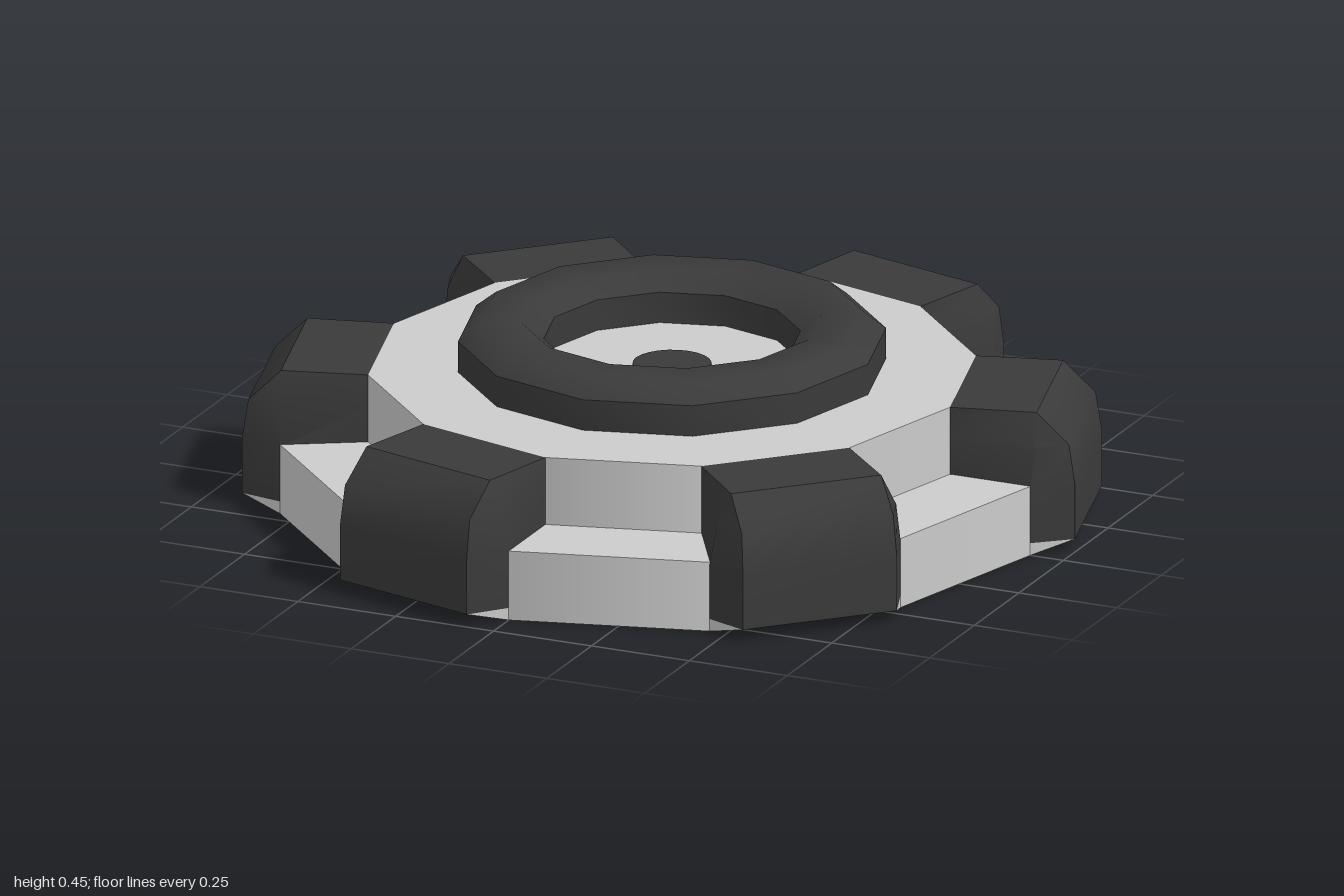
import * as THREE from 'three';
import { toCreasedNormals } from 'three/addons/utils/BufferGeometryUtils.js';

const SIDES = 12;
const STEP = (Math.PI * 2) / SIDES;
const DEG = Math.PI / 180;
const CREASE = 40 * DEG;

// Knob levels: height, side corner [inset degrees, radius], outer corner [inset degrees, radius]
const LEVELS = [
  [0, [0, 0.915], [0, 0.915]],
  [0.03, [0, 0.915], [4, 1.0]],
  [0.165, [0, 0.915], [4, 1.0]],
  [0.26, [1, 0.92], [4, 0.985]],
  [0.335, [3.2, 0.91], [3.2, 0.91]],
];
const INNER = [0, 0.71];

const polar = (angle, r, y) => new THREE.Vector3(Math.sin(angle) * r, y, Math.cos(angle) * r);

// Open outline of one level, running round the knob from inner corner to inner corner
function outline([y, side, outer]) {
  const corners = [INNER, side, outer];
  const first = corners.map(([inset, r]) => polar(-STEP + inset * DEG, r, y));
  const last = corners.map(([inset, r]) => polar(-inset * DEG, r, y)).reverse();
  return [...first, ...last];
}

function skin(levels, capped) {
  const rows = levels.map(outline);
  const points = [];
  const triangle = (a, b, c) => {
    const area = b.clone().sub(a).cross(c.clone().sub(a)).length();
    if (area > 1e-6) points.push(a, b, c);
  };
  for (let j = 0; j < rows.length - 1; j++) {
    for (let i = 0; i < rows[j].length - 1; i++) {
      const a = rows[j][i], b = rows[j][i + 1], c = rows[j + 1][i + 1], d = rows[j + 1][i];
      triangle(a, b, c);
      triangle(a, c, d);
    }
  }
  if (capped) {
    const top = rows[rows.length - 1];
    for (let i = 1; i < top.length - 1; i++) triangle(top[0], top[i], top[i + 1]);
  }
  const geometry = new THREE.BufferGeometry().setFromPoints(points);
  return toCreasedNormals(geometry, CREASE);
}

export function createModel() {
  const model = new THREE.Group();
  const grey = new THREE.MeshStandardMaterial({ color: 0xcccccc, side: THREE.DoubleSide });
  const dark = new THREE.MeshStandardMaterial({ color: 0x3a3a3a, side: THREE.DoubleSide });

  const add = (name, geometry, material, y = 0, parent = model) => {
    const mesh = new THREE.Mesh(geometry, material);
    mesh.name = name;
    mesh.position.y = y;
    parent.add(mesh);
    return mesh;
  };

  // Stepped twelve-sided body
  add('baseDisc', new THREE.CylinderGeometry(0.915, 0.915, 0.17, SIDES), grey, 0.085);
  add('upperDisc', new THREE.CylinderGeometry(0.71, 0.71, 0.165, SIDES), grey, 0.2525);

  // Six grip knobs on every other side, each with a grey bevel underneath
  const bevelGeometry = skin(LEVELS.slice(0, 2), false);
  const knobGeometry = skin(LEVELS.slice(1), true);
  for (let k = 0; k < SIDES / 2; k++) {
    const knob = new THREE.Group();
    knob.name = 'gripKnob';
    knob.rotation.y = k * 2 * STEP;
    add('knobBevel', bevelGeometry, grey, 0, knob);
    add('knobBlock', knobGeometry, dark, 0, knob);
    model.add(knob);
  }

  // Raised ring with bevelled rims
  const profile = [[0.5, 0.335], [0.5, 0.41], [0.45, 0.45], [0.35, 0.45], [0.3, 0.41], [0.3, 0.335]]
    .map(([r, y]) => new THREE.Vector2(r, y));
  add('raisedRing', toCreasedNormals(new THREE.LatheGeometry(profile, SIDES), CREASE), dark);

  // Small dot in the middle of the recess
  add('centreDot', new THREE.CylinderGeometry(0.092, 0.092, 0.008, 24), dark, 0.337);

  return model;
}
